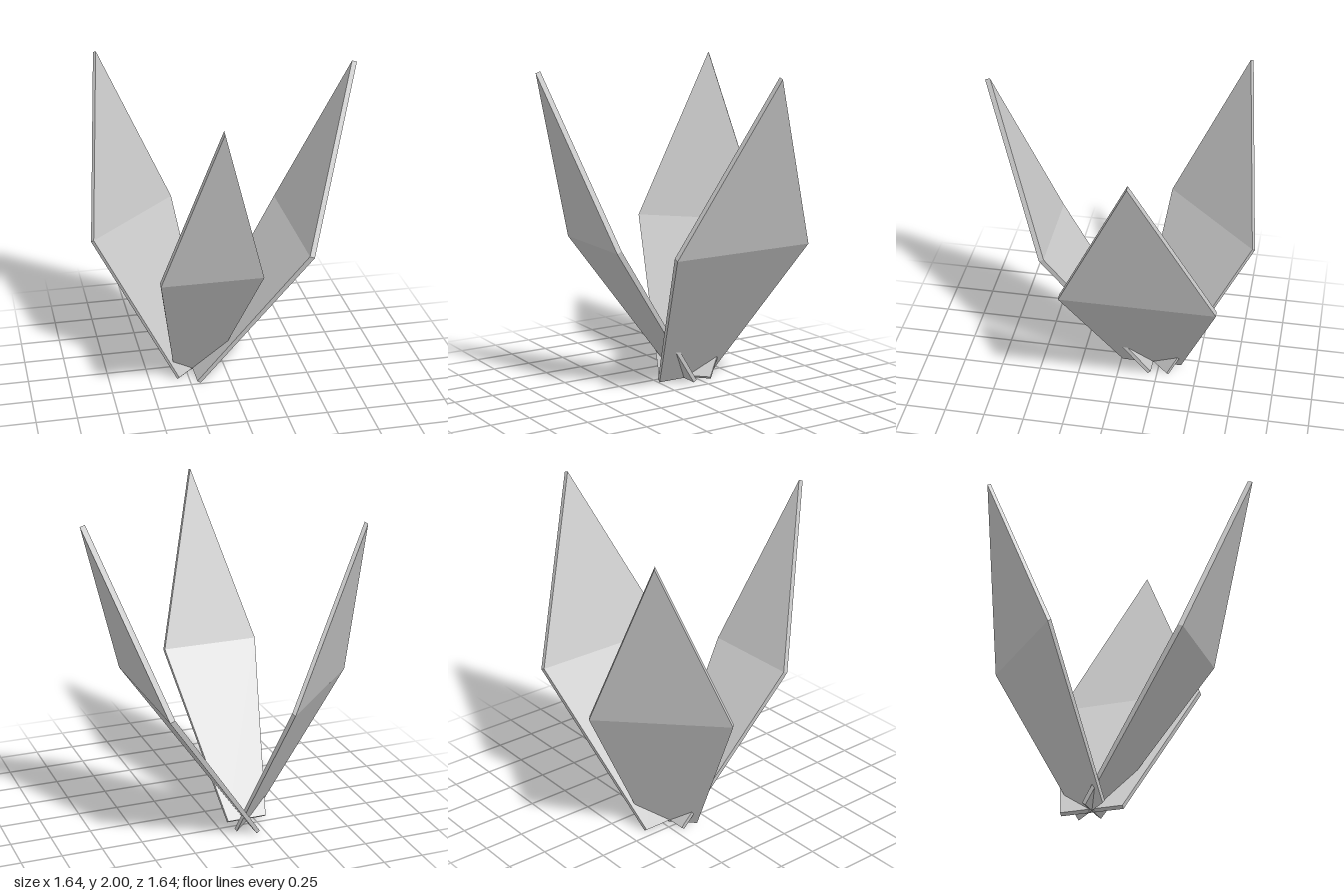
import * as THREE from 'three';

// Leaf cross-sections from base to tip: inner and outer [reach, height], and relative half width
const SECTIONS = [
  { inner: [-0.01, 0.015], outer: [0.01, 0], width: 0.41 },
  { inner: [0.63, 0.95], outer: [0.66, 0.937], width: 1 },
  { inner: [0.988, 2.0], outer: [1.018, 1.99], width: 0 },
];

// A folded, pointed slab that leans out towards +z
function leafGeometry(halfWidth, reach) {
  const rings = SECTIONS.map(({ inner, outer, width }) => {
    const w = width * halfWidth;
    const point = (x, [z, y]) => new THREE.Vector3(x, y, z * reach);
    return [point(-w, outer), point(w, outer), point(w, inner), point(-w, inner)];
  });

  const points = [];
  const addTriangle = (a, b, c) => {
    if (new THREE.Triangle(a, b, c).getArea() > 1e-8) points.push(a, b, c);
  };
  const addQuad = (a, b, c, d) => {
    addTriangle(a, b, c);
    addTriangle(a, c, d);
  };

  // Base cap, then the four sides between neighbouring sections
  addQuad(rings[0][0], rings[0][3], rings[0][2], rings[0][1]);
  for (let i = 0; i < rings.length - 1; i++) {
    for (let j = 0; j < 4; j++) {
      const k = (j + 1) % 4;
      addQuad(rings[i][j], rings[i][k], rings[i + 1][k], rings[i + 1][j]);
    }
  }

  const geometry = new THREE.BufferGeometry().setFromPoints(points);
  geometry.computeVertexNormals();
  return geometry;
}

export function createModel() {
  const plant = new THREE.Group();
  plant.name = 'plant';
  const material = new THREE.MeshStandardMaterial({ color: 0xcccccc, flatShading: true });

  // Three leaves growing from one off-centre root
  const leaves = [
    { name: 'frontLeaf', halfWidth: 0.305, reach: 1, turn: 0 },
    { name: 'leftLeaf', halfWidth: 0.466, reach: 1, turn: Math.PI / 2 },
    { name: 'backRightLeaf', halfWidth: 0.41, reach: 0.705, turn: -Math.PI * 0.75 },
  ];
  for (const { name, halfWidth, reach, turn } of leaves) {
    const leaf = new THREE.Mesh(leafGeometry(halfWidth, reach), material);
    leaf.name = name;
    leaf.position.set(-0.2, 0, -0.2);
    leaf.rotation.y = turn;
    plant.add(leaf);
  }
  return plant;
}
